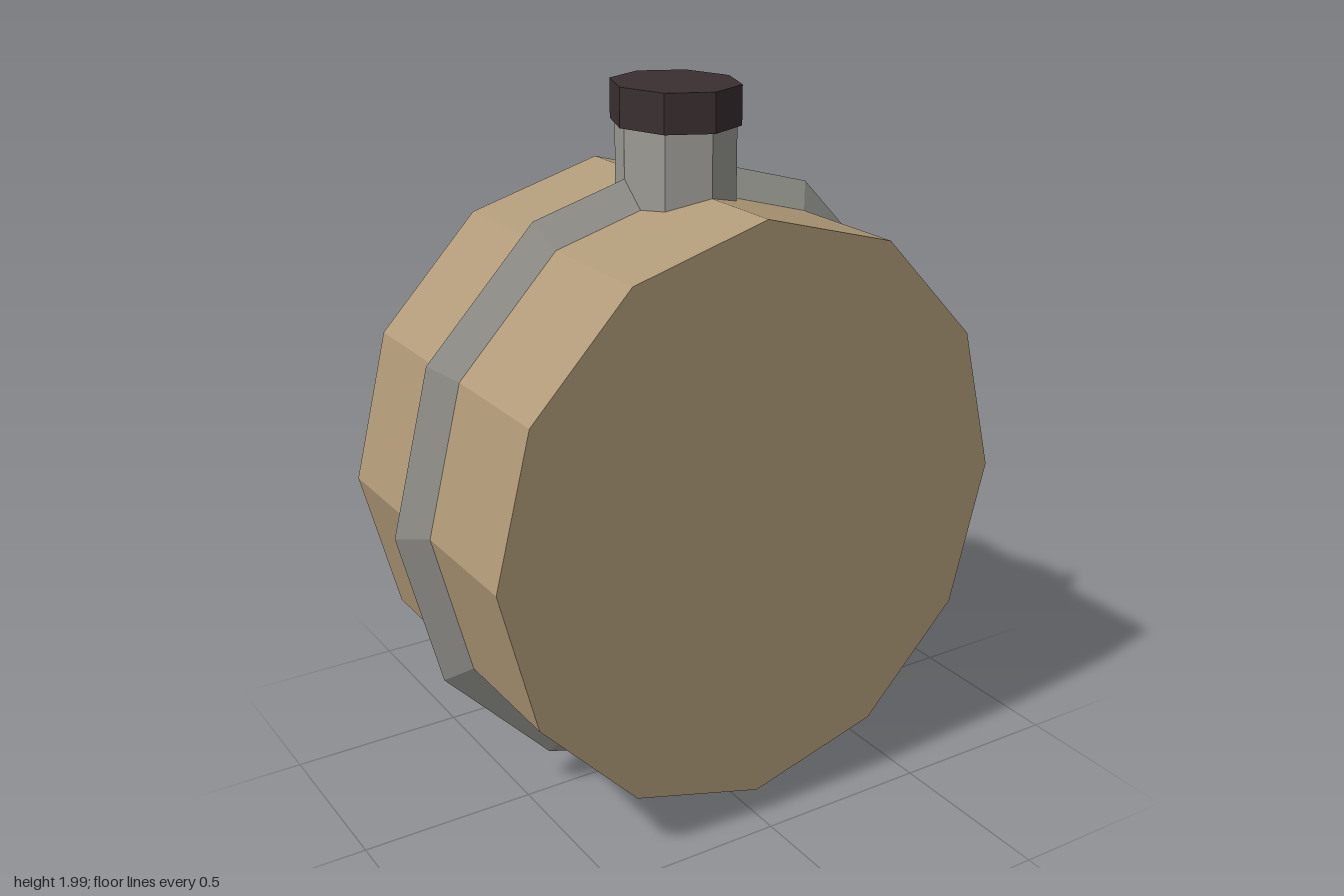
import * as THREE from 'three';

export function createModel() {
  const model = new THREE.Group();
  model.name = 'canteen';

  const material = (name, color) => {
    const m = new THREE.MeshStandardMaterial({ color, flatShading: true });
    m.name = name;
    return m;
  };
  const tan = material('tan cover', 0xb09a78);
  const grey = material('grey metal', 0x9b9a94);
  const dark = material('dark cap', 0x3a2f31);

  const add = (name, geometry, mat, y) => {
    const mesh = new THREE.Mesh(geometry, mat);
    mesh.name = name;
    mesh.position.y = y;
    model.add(mesh);
    return mesh;
  };

  const centreY = 0.907;
  const stretch = 1.053; // body is slightly taller than wide

  // Twelve-sided drum facing the front
  const drum = new THREE.CylinderGeometry(0.778, 0.778, 0.856, 12);
  drum.rotateX(Math.PI / 2).scale(1, stretch, 1);
  add('body', drum, tan, centreY);

  // Pointed metal band around the rim
  const band = new THREE.TorusGeometry(0.778, 0.076, 4, 12);
  band.scale(1, stretch, 0.05 / 0.076);
  add('rimBand', band, grey, centreY);

  // Octagonal neck and cap, a little deeper than wide
  const octagon = (rx, rz, height) =>
    new THREE.CylinderGeometry(1, 1, height, 8).scale(rx, 1, rz);
  add('neck', octagon(0.156, 0.178, 0.3), grey, 1.76);
  add('cap', octagon(0.168, 0.191, 0.105), dark, 1.9475);

  return model;
}
